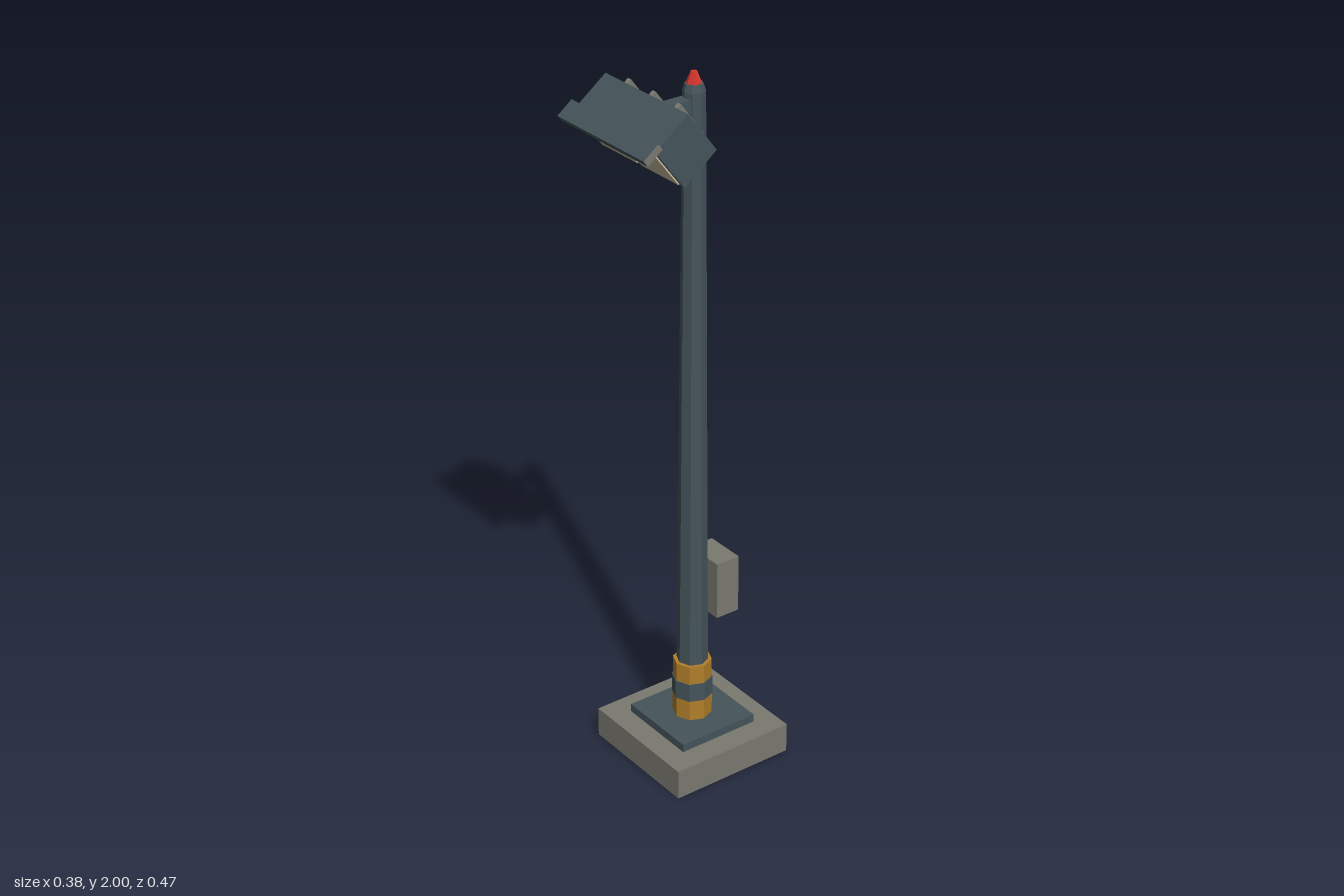
import * as THREE from 'three';

const mat = (name, color) => {
  const m = new THREE.MeshStandardMaterial({ color });
  m.name = name;
  return m;
};

export function createModel() {
  const concrete = mat('concrete grey', 0x7b7a70);
  const steel = mat('dark steel', 0x45545a);
  const gold = mat('ochre band', 0xb17f2a);
  const red = mat('beacon red', 0xd0342a);
  const lens = mat('warm lens', 0xc8bd9e);

  const model = new THREE.Group();
  model.name = 'floodlightMast';
  const axisZ = -0.047;

  const add = (parent, name, geometry, material, x, y, z) => {
    const mesh = new THREE.Mesh(geometry, material);
    mesh.name = name;
    mesh.position.set(x, y, z);
    parent.add(mesh);
    return mesh;
  };
  // Box given by its extents along each axis
  const box = (parent, name, material, x0, x1, y0, y1, z0, z1) =>
    add(parent, name, new THREE.BoxGeometry(x1 - x0, y1 - y0, z1 - z0), material,
      (x0 + x1) / 2, (y0 + y1) / 2, (z0 + z1) / 2);
  // Faceted round section on the mast axis
  const section = (name, material, rBottom, rTop, y0, y1, sides = 8) => {
    const g = new THREE.CylinderGeometry(rTop, rBottom, y1 - y0, sides).toNonIndexed();
    g.computeVertexNormals();
    return add(model, name, g, material, 0, (y0 + y1) / 2, axisZ);
  };

  // Foundation
  box(model, 'foundation', concrete, -0.188, 0.188, 0, 0.088, -0.235, 0.141);
  box(model, 'basePlate', steel, -0.122, 0.122, 0.088, 0.112, -0.169, 0.075);

  // Mast with painted collar bands
  section('mast', steel, 0.045, 0.03, 0.112, 1.95);
  section('mastCap', steel, 0.03, 0.024, 1.95, 1.97);
  section('lowerBand', gold, 0.055, 0.055, 0.112, 0.175);
  section('middleBand', steel, 0.057, 0.057, 0.175, 0.23);
  section('upperBand', gold, 0.054, 0.054, 0.23, 0.286);

  // Warning beacon
  section('beacon', red, 0.023, 0.009, 1.968, 2.0, 6);

  // Control cabinet behind the mast
  box(model, 'controlBox', concrete, -0.06, 0.06, 0.43, 0.6, -0.158, -0.085);

  // Arm carrying the lamp
  box(model, 'arm', steel, -0.018, 0.018, 1.9, 1.935, -0.045, 0.056);

  // Tilted lamp head: local +z is the beam direction
  const head = new THREE.Group();
  head.name = 'lampHead';
  head.position.set(0, 1.8825, 0.104);
  head.rotation.x = 0.653;
  model.add(head);
  box(head, 'housing', steel, -0.17, 0.17, -0.071, 0.071, -0.0615, 0.0615);

  // Lens panes
  for (const s of [-1, 1]) {
    add(head, s > 0 ? 'leftLens' : 'rightLens', new THREE.BoxGeometry(0.152, 0.118, 0.006),
      lens, s * 0.084, -0.001, 0.0625);
  }

  // Visor: steel on top and tip, grey on the other faces
  box(head, 'visor', [concrete, concrete, steel, concrete, steel, concrete],
    -0.18, 0.18, 0.068, 0.089, 0.045, 0.1);

  // Rear ribs and cross bar
  for (const [name, x] of [['leftRib', 0.102], ['middleRib', 0], ['rightRib', -0.102]]) {
    box(head, name, concrete, x - 0.007, x + 0.007, -0.056, 0.056, -0.0805, -0.0605);
  }
  box(head, 'rearBar', steel, -0.155, 0.155, -0.006, 0.02, -0.0695, -0.0605);

  return model;
}
